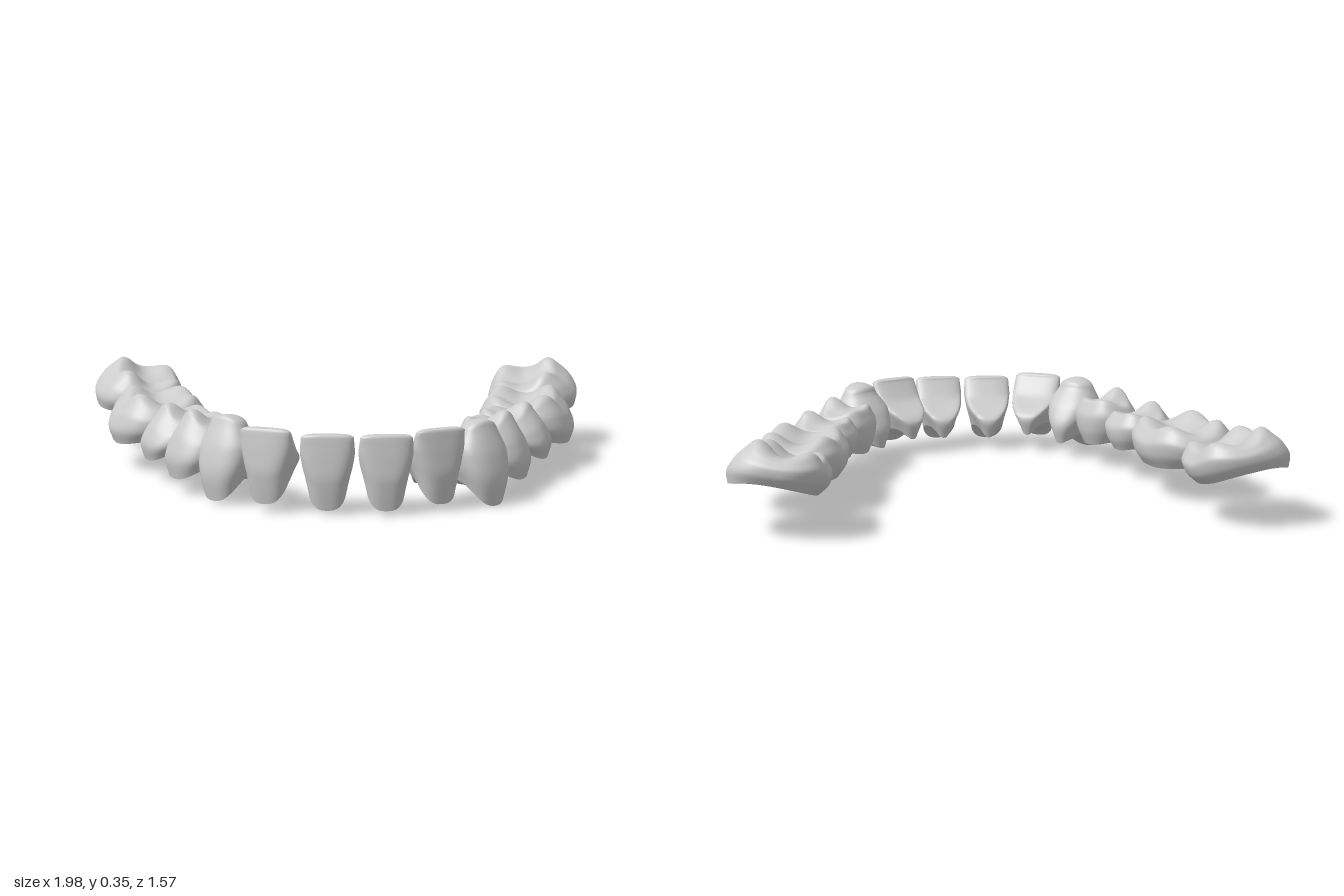
import * as THREE from 'three';

const SEG = 48;
// Four stations from neck to biting edge, each [half width, outer face, inner face]
// in units of the tooth's half width and half depth.
const KINDS = {
  incisor: {
    stations: [[0.86, 0.88, -0.85], [0.98, 1, -1], [1, 1, 0], [0.96, 0.92, 0.5]],
    taper: [0.62, 0], power: 0.75, scallop: 0.055, lift: 0.04, edge: 0.012,
    depth: 0, sigma: 1, ridge: 0, cusps: [],
  },
  canine: {
    stations: [[0.86, 0.9, -0.88], [1.05, 1, -1], [1.05, 0.86, -0.75], [0.76, 0.55, -0.25]],
    taper: [0.55, 0.2], power: 0.82, scallop: 0.055, lift: 0.05, edge: 0.02,
    depth: 0.06, sigma: 0.7, ridge: 0, cusps: [[0, 0.3, 1]],
  },
  premolar: {
    stations: [[0.85, 0.92, -0.82], [1.02, 1, -0.97], [1.03, 0.82, -1], [0.85, 0.5, -0.82]],
    taper: [0.25, 0.08], power: 0.82, scallop: 0.03, lift: 0.035, edge: 0.03,
    depth: 0.075, sigma: 0.32, ridge: 0.45, cusps: [[0, 0.25, 0.95], [-0.4, -0.6, 0.5], [0.4, -0.6, 0.4]],
  },
  molar: {
    stations: [[0.88, 0.93, -0.82], [1, 1, -0.97], [1.02, 0.88, -1], [0.92, 0.64, -0.84]],
    taper: [0.1, 0.06], power: 0.78, scallop: 0.02, lift: 0.02, edge: 0.03,
    depth: 0.075, sigma: 0.27, ridge: 0.5, cusps: [[-0.5, 0.38, 0.75], [0.42, 0.38, 0.8], [-0.48, -0.58, 0.6], [0.45, -0.58, 0.65]],
  },
};

// One crown: underside, wall and cusped biting surface as closed rings
function crownGeometry(kind, w, d, h) {
  const k = KINDS[kind];
  const curve = new THREE.CatmullRomCurve3(k.stations.map((s) => new THREE.Vector3(...s)));
  const bend = (x) => Math.sign(x) * Math.abs(x) ** k.power;

  const section = (t, a) => {
    const s = curve.getPoint(t);
    const side = bend(Math.sin(a));
    const taper = THREE.MathUtils.lerp(k.taper[0], k.taper[1], Math.min(1, t * 1.5));
    return {
      x: w * s.x * bend(Math.cos(a)) * (1 - taper * (1 - side) / 2),
      z: d * ((s.y + s.z) / 2 + side * (s.y - s.z) / 2),
    };
  };
  // Gum line: low on the outside, raised on the inside and between teeth
  const rim = (a) => k.scallop * Math.cos(a) ** 2 + k.lift * (1 - Math.sin(a)) / 2;
  // Biting surface: mounds and a marginal ridge around a basin
  const bite = (x, z, r) => {
    let m = k.ridge * r ** 4;
    for (const [cx, cz, amount] of k.cusps) {
      const q = (x / w - cx) ** 2 + (z / d - cz) ** 2;
      m += amount * Math.exp(-q / (2 * k.sigma ** 2));
    }
    return h - k.depth * (1 - m) - k.edge * r ** 9;
  };

  const rows = [];
  const base = k.stations[0], top = k.stations[3];
  const baseZ = d * (base[1] + base[2]) / 2, topZ = d * (top[1] + top[2]) / 2;
  const baseY = (k.scallop + k.lift) / 2;
  for (let j = 0; j <= 6; j++) {
    const r = j / 6;
    rows.push((a) => {
      const p = section(0, a);
      return [p.x * r, THREE.MathUtils.lerp(baseY, rim(a), r * r), baseZ + (p.z - baseZ) * r];
    });
  }
  // The rim ring is repeated so that the neck edge stays sharp
  for (let j = 0; j <= 16; j++) {
    const t = j / 16;
    rows.push((a) => {
      const p = section(t, a), e = section(1, a);
      return [p.x, THREE.MathUtils.lerp(rim(a), bite(e.x, e.z, 1), t), p.z];
    });
  }
  for (let j = 1; j <= 18; j++) {
    const r = 1 - j / 18;
    rows.push((a) => {
      const p = section(1, a);
      const x = p.x * r, z = topZ + (p.z - topZ) * r;
      return [x, bite(x, z, r), z];
    });
  }

  const position = [], index = [];
  rows.forEach((row, j) => {
    for (let i = 0; i < SEG; i++) {
      position.push(...row((i / SEG) * Math.PI * 2));
      if (j === rows.length - 1) continue;
      const n = (i + 1) % SEG, a = j * SEG + i, c = j * SEG + n;
      index.push(a, a + SEG, c, c, a + SEG, c + SEG);
    }
  });
  const geometry = new THREE.BufferGeometry();
  geometry.setAttribute('position', new THREE.Float32BufferAttribute(position, 3));
  geometry.setIndex(index);
  geometry.computeVertexNormals();
  return geometry;
}

// [name, kind, half width, half depth, height, yaw, back tilt, outer tilt, left x y z, right x y z]
const TEETH = [
  ['CentralIncisor', 'incisor', 0.095, 0.105, 0.265, 3, 0, 0, [0.117, 0.02, 0.68], [-0.078, 0.02, 0.665]],
  ['LateralIncisor', 'incisor', 0.098, 0.108, 0.265, 24, 0, 0, [0.28, 0.03, 0.622], [-0.262, 0.035, 0.622]],
  ['Canine', 'canine', 0.108, 0.123, 0.3, 40, 0, 0, [0.443, 0.005, 0.543], [-0.408, 0.018, 0.485]],
  ['FirstPremolar', 'premolar', 0.126, 0.13, 0.245, 58, 0, 0, [0.543, 0.05, 0.315], [-0.525, 0.06, 0.315]],
  ['SecondPremolar', 'premolar', 0.134, 0.143, 0.208, 68, 2, 0, [0.64, 0.082, 0.095], [-0.618, 0.085, 0.092]],
  ['FirstMolar', 'molar', 0.215, 0.183, 0.2, 77, 2, 0, [0.73, 0.097, -0.19], [-0.72, 0.105, -0.195]],
  ['SecondMolar', 'molar', 0.184, 0.178, 0.18, 76, 12, 10, [0.817, 0.155, -0.58], [-0.825, 0.16, -0.612]],
];

export function createModel() {
  const model = new THREE.Group();
  model.name = 'lowerTeeth';
  const material = new THREE.MeshStandardMaterial({ color: 0xcccccc });
  const rad = THREE.MathUtils.degToRad;
  for (const [name, kind, w, d, h, yaw, back, outer, leftAt, rightAt] of TEETH) {
    const geometry = crownGeometry(kind, w, d, h);
    for (const [side, sign, at] of [['left', 1, leftAt], ['right', -1, rightAt]]) {
      const tooth = new THREE.Mesh(geometry, material);
      tooth.name = side + name;
      tooth.position.set(...at);
      // Face outward along the arch, back and outer edges raised
      tooth.rotation.set(rad(-outer), rad(yaw * sign), rad(back * sign), 'YXZ');
      model.add(tooth);
    }
  }
  return model;
}
